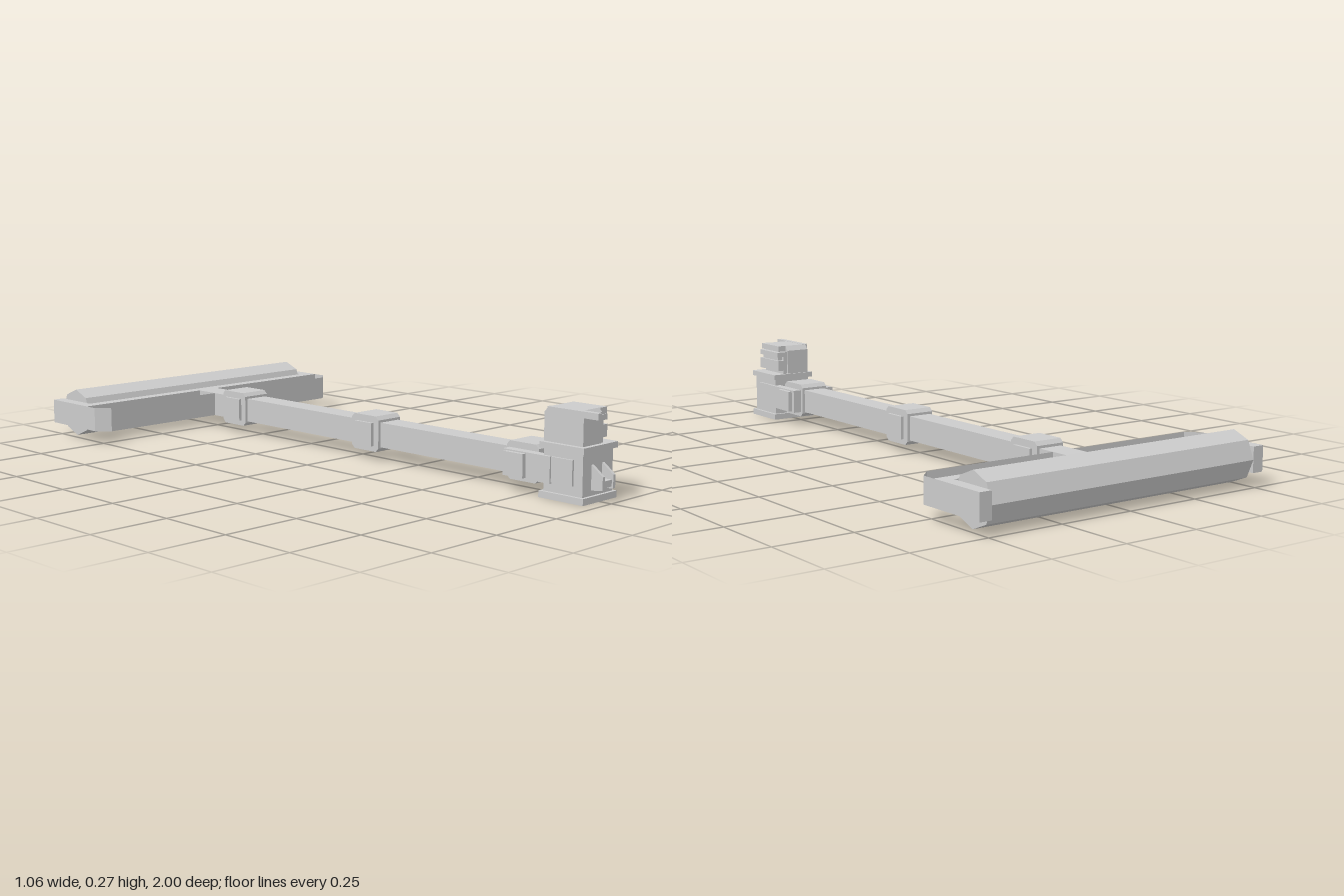
import * as THREE from 'three';

const grey = new THREE.MeshStandardMaterial({ color: 0xcccccc, flatShading: true });
const thin = new THREE.MeshStandardMaterial({ color: 0xcccccc, flatShading: true, side: THREE.DoubleSide });

export function createModel() {
  const root = new THREE.Group();

  function add(name, geometry, material = grey) {
    const mesh = new THREE.Mesh(geometry, material);
    mesh.name = name;
    root.add(mesh);
    return mesh;
  }

  // Box from its limits on each axis
  function box(name, x0, x1, y0, y1, z0, z1) {
    const mesh = add(name, new THREE.BoxGeometry(x1 - x0, y1 - y0, z1 - z0));
    mesh.position.set((x0 + x1) / 2, (y0 + y1) / 2, (z0 + z1) / 2);
    return mesh;
  }

  // Side profile of [z, y] points, extruded across x
  function sideProfile(name, points, x0, x1, hole) {
    const toV = ([z, y]) => new THREE.Vector2(-z, y);
    const shape = new THREE.Shape(points.map(toV));
    if (hole) shape.holes.push(new THREE.Path(hole.map(toV)));
    const geo = new THREE.ExtrudeGeometry(shape, { depth: x1 - x0, bevelEnabled: false });
    geo.rotateY(Math.PI / 2);
    geo.translate(x0, 0, 0);
    return add(name, geo);
  }

  const square = (z, y, r) => [[z - r, y - r], [z + r, y - r], [z + r, y + r], [z - r, y + r]];

  function chamfered(z, y, rz, ry, c) {
    return [[z - rz + c, y - ry], [z + rz - c, y - ry], [z + rz, y - ry + c], [z + rz, y + ry - c],
      [z + rz - c, y + ry], [z - rz + c, y + ry], [z - rz, y + ry - c], [z - rz, y - ry + c]];
  }

  // Square ring standing out on both sides
  function sideRings(name, z, y, r, hole, inner, outer) {
    sideProfile(name, square(z, y, r), inner, outer, square(z, y, hole));
    sideProfile(name, square(z, y, r), -outer, -inner, square(z, y, hole));
  }

  // Long beam and its chamfered joints
  box('beam', -0.04, 0.04, 0.045, 0.125, -0.81, 0.75);
  for (const z of [0.715, 0.06, -0.595]) {
    sideProfile('joint', chamfered(z, 0.087, 0.06, 0.058, 0.012), -0.05, 0.05);
    if (z < 0.5) sideRings('jointPin', z, 0.085, 0.038, 0.02, 0.05, 0.06);
  }

  // Roller and the U frame that holds it
  const roller = add('roller', new THREE.CylinderGeometry(0.08, 0.08, 0.98, 8));
  roller.rotation.z = Math.PI / 2;
  roller.position.set(0, 0.085, -0.92);
  box('frameBar', -0.53, 0.53, 0.045, 0.125, -0.84, -0.8);
  for (const s of [-1, 1]) {
    box('frameEnd', s * 0.51 - 0.02, s * 0.51 + 0.02, 0.045, 0.125, -1, -0.84);
  }

  // Open outer wall with cut corners
  const path = [[-0.53, -0.84], [-0.53, -0.755], [-0.49, -0.715], [0.49, -0.715], [0.53, -0.755], [0.53, -0.84]];
  const corners = [], faces = [];
  path.forEach(([x, z], i) => {
    corners.push(x, 0.045, z, x, 0.125, z);
    const a = i * 2;
    if (i < path.length - 1) faces.push(a, a + 2, a + 3, a, a + 3, a + 1);
  });
  const wall = new THREE.BufferGeometry();
  wall.setAttribute('position', new THREE.Float32BufferAttribute(corners, 3));
  wall.setIndex(faces);
  wall.computeVertexNormals();
  add('frameWall', wall, thin);

  // Fork gripping the first joint
  for (const s of [-1, 1]) {
    box('forkArm', s * 0.065 - 0.015, s * 0.065 + 0.015, 0.045, 0.125, 0.665, 0.84);
  }
  sideRings('forkPin', 0.715, 0.085, 0.036, 0.02, 0.08, 0.094);

  // End block
  box('basePlate', -0.08, 0.08, 0, 0.02, 0.8, 0.96);
  box('endBlock', -0.07, 0.07, 0.02, 0.147, 0.81, 0.95);
  box('topPlate', -0.08, 0.08, 0.147, 0.165, 0.8, 0.96);
  sideRings('blockWindow', 0.88, 0.087, 0.038, 0.027, 0.069, 0.077);

  // Front latch: two sloping fins and a cross bar
  for (const s of [-1, 1]) {
    sideProfile('latchFin', [[0.945, 0.035], [0.99, 0.04], [0.99, 0.08], [0.95, 0.11], [0.945, 0.11]],
      s * 0.025 - 0.005, s * 0.025 + 0.005);
  }
  box('latchBar', -0.021, 0.021, 0.045, 0.065, 0.945, 0.985);

  // Upper housing with bevelled top
  sideProfile('housing', [[0.805, 0.165], [0.945, 0.165], [0.945, 0.255], [0.935, 0.267], [0.82, 0.267],
    [0.805, 0.25]], -0.065, 0.02);
  box('housingRoof', 0.019, 0.05, 0.247, 0.267, 0.82, 0.94);
  box('housingFloor', 0.019, 0.035, 0.165, 0.245, 0.81, 0.94);
  box('sideRail', 0.034, 0.06, 0.178, 0.215, 0.805, 0.935);
  box('sideRail', 0.034, 0.06, 0.228, 0.245, 0.81, 0.935);
  box('railLink', 0.034, 0.052, 0.213, 0.23, 0.82, 0.925);
  box('pointer', -0.072, -0.053, 0.249, 0.268, 0.82, 1);

  return root;
}
